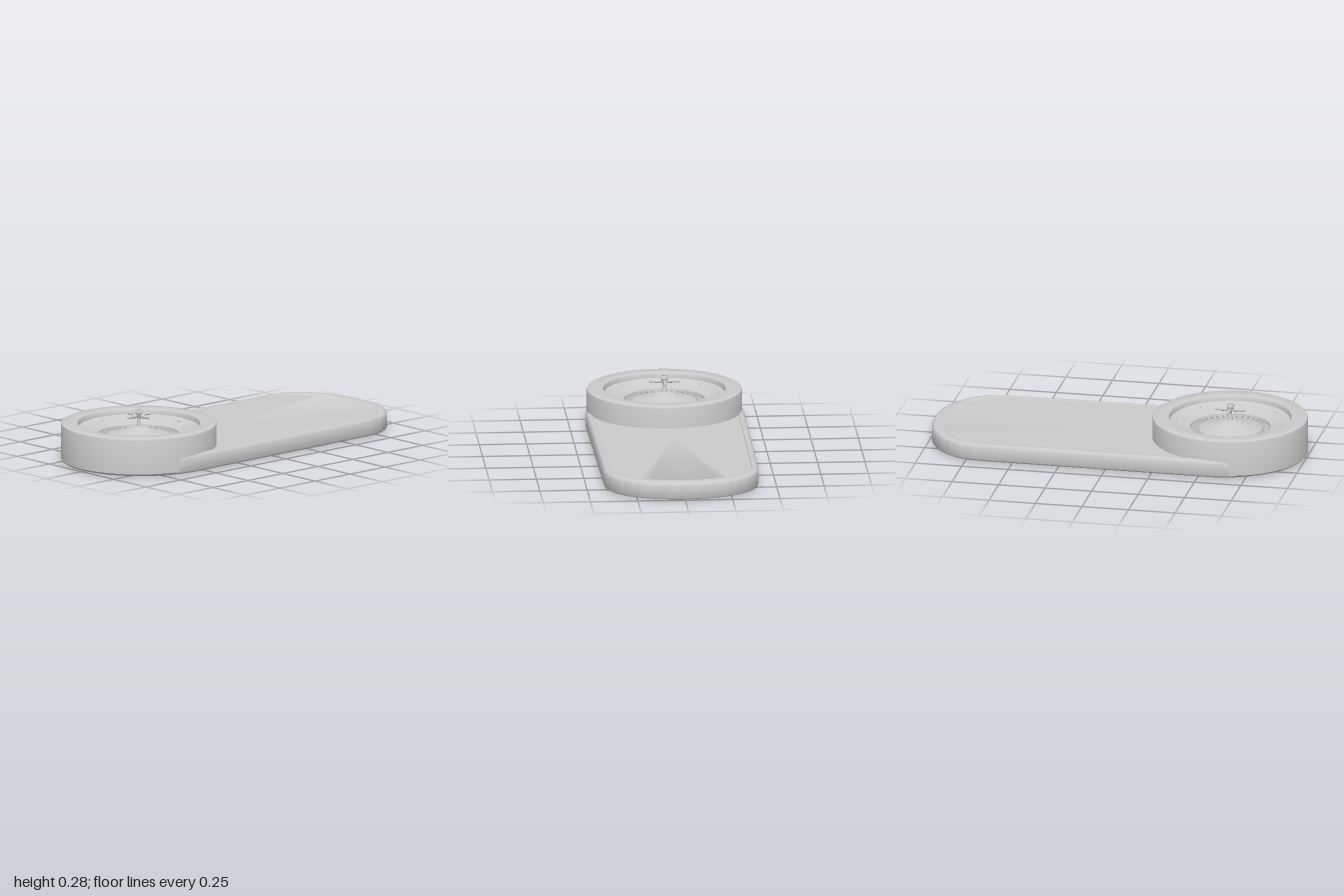
import * as THREE from 'three';
import { toCreasedNormals } from 'three/addons/utils/BufferGeometryUtils.js';

const material = new THREE.MeshStandardMaterial({ color: 0xcccccc });
const WHEEL_X = -0.59;

function addMesh(parent, name, geometry) {
  const mesh = new THREE.Mesh(geometry, material);
  mesh.name = name;
  parent.add(mesh);
  return mesh;
}

function lathe(points, segments, crease = 0.6) {
  const g = new THREE.LatheGeometry(points.map(([r, y]) => new THREE.Vector2(r, y)), segments);
  return toCreasedNormals(g, crease);
}

// Long table outline: two rounded ends joined by slightly tapering sides
function tableOutline(inset) {
  const n = 40;
  const points = [];
  const end = (cx, a, b, power, start) => {
    for (let i = 0; i <= n; i++) {
      const t = start + (Math.PI * i) / n;
      const c = Math.cos(t), s = Math.sin(t);
      points.push([
        cx + a * Math.sign(c) * Math.abs(c) ** (2 / power),
        b * Math.sign(s) * Math.abs(s) ** (2 / power),
      ]);
    }
  };
  end(0.68, 0.32 - inset - 36 * inset * inset, 0.408 - inset, 2.15, -Math.PI / 2);
  end(-0.55, 0.44 - inset, 0.418 - inset, 2, Math.PI / 2);
  return points;
}

// Stack of outlines given as [inset, height], closed at both ends
function loftTable(sections) {
  const position = [], index = [];
  let count = 0;
  for (const [inset, y] of sections) {
    const ring = tableOutline(inset);
    count = ring.length;
    for (const [x, z] of ring) position.push(x, y, z);
  }
  for (let j = 0; j < sections.length - 1; j++) {
    for (let i = 0; i < count; i++) {
      const k = (i + 1) % count;
      const a = j * count + i, c = j * count + k;
      index.push(a, a + count, c, c, a + count, c + count);
    }
  }
  const last = (sections.length - 1) * count;
  const bottom = position.length / 3;
  position.push(0, sections[0][1], 0, 0, sections[sections.length - 1][1], 0);
  for (let i = 0; i < count; i++) {
    const k = (i + 1) % count;
    index.push(bottom, i, k, bottom + 1, last + k, last + i);
  }
  const g = new THREE.BufferGeometry();
  g.setAttribute('position', new THREE.Float32BufferAttribute(position, 3));
  g.setIndex(index);
  return toCreasedNormals(g, 0.7);
}

export function createModel() {
  const model = new THREE.Group();
  model.name = 'rouletteTable';

  // Table slab with a rounded rim and a shallow sunken playing surface
  addMesh(model, 'table', loftTable([
    [0.035, 0.005], [0.033, 0], [0.012, 0.001], [0.004, 0.005], [0, 0.013],
    [0, 0.081], [0.004, 0.089], [0.012, 0.094], [0.028, 0.095], [0.033, 0.093], [0.035, 0.088],
  ]));

  const wheel = new THREE.Group();
  wheel.name = 'wheel';
  wheel.position.x = WHEEL_X;
  model.add(wheel);

  // Outer housing and sloping ball track
  addMesh(wheel, 'bowl', lathe([
    [0.385, 0.004], [0.402, 0.005], [0.41, 0.014], [0.41, 0.194], [0.407, 0.202], [0.4, 0.206],
    [0.33, 0.206], [0.324, 0.204], [0.32, 0.198], [0.318, 0.178],
    [0.29, 0.168], [0.25, 0.156], [0.212, 0.146], [0.208, 0.128],
  ], 96));

  // Rotor: pocket ring and central cone
  addMesh(wheel, 'rotor', lathe([
    [0.209, 0.128], [0.172, 0.128], [0.168, 0.14], [0.12, 0.153], [0.07, 0.168], [0.03, 0.183], [0, 0.187],
  ], 96));

  // Pocket dividers
  const dividers = new THREE.Group();
  dividers.name = 'pocketDividers';
  wheel.add(dividers);
  const dividerGeometry = new THREE.BoxGeometry(0.038, 0.014, 0.004);
  for (let i = 0; i < 37; i++) {
    const t = (i / 37) * Math.PI * 2;
    const d = addMesh(dividers, 'pocketDivider', dividerGeometry);
    d.position.set(0.19 * Math.cos(t), 0.134, 0.19 * Math.sin(t));
    d.rotation.y = -t;
  }

  // Diamond ball deflectors, alternately along and across the track
  const deflectorGeometry = new THREE.OctahedronGeometry(1).toNonIndexed();
  deflectorGeometry.scale(0.013, 0.006, 0.005);
  deflectorGeometry.computeVertexNormals();
  for (let i = 0; i < 8; i++) {
    const t = (i / 8) * Math.PI * 2;
    const d = addMesh(wheel, 'deflector', deflectorGeometry);
    d.position.set(0.287 * Math.cos(t), 0.169, 0.287 * Math.sin(t));
    d.rotation.y = -t + (i % 2 ? 0 : Math.PI / 2);
  }

  // Turned spindle
  addMesh(wheel, 'spindle', lathe([
    [0.016, 0.18], [0.012, 0.2], [0.009, 0.21], [0.008, 0.222], [0.01, 0.234], [0.016, 0.248],
    [0.019, 0.258], [0.017, 0.265], [0.01, 0.268], [0.009, 0.271], [0.012, 0.273],
    [0.012, 0.277], [0.008, 0.279], [0, 0.28],
  ], 24, 0.9));

  // Four turned handles around the spindle
  const armGeometry = lathe([
    [0.005, 0.004], [0.005, 0.014], [0.009, 0.02], [0.01, 0.027], [0.0085, 0.04], [0.006, 0.055],
    [0.0045, 0.066], [0.0065, 0.069], [0.0075, 0.074], [0.005, 0.079], [0, 0.081],
  ], 16, 0.9);
  armGeometry.rotateZ(-Math.PI / 2);
  for (let i = 0; i < 4; i++) {
    const arm = addMesh(wheel, 'handle', armGeometry);
    arm.position.y = 0.24;
    arm.rotation.y = (i * Math.PI) / 2;
  }

  return model;
}
